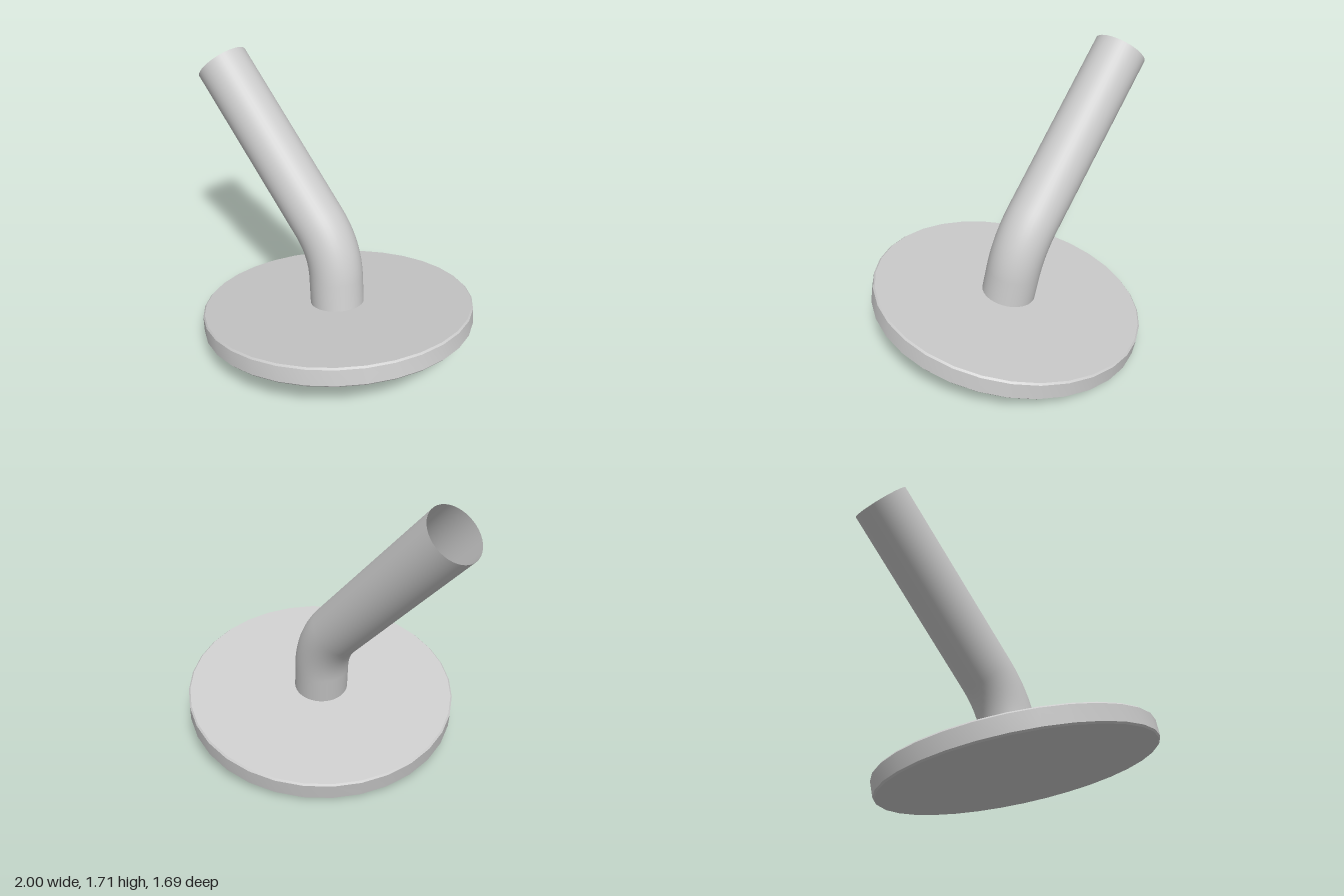
import * as THREE from 'three';
import { toCreasedNormals } from 'three/addons/utils/BufferGeometryUtils.js';

const DISC_RADIUS = 0.846;
const DISC_THICKNESS = 0.117;
const BEVEL = 0.01;
const TUBE_RADIUS = 0.168;
const LEAN = THREE.MathUtils.degToRad(9); // sideways tilt of the disc

export function createModel() {
  const model = new THREE.Group();
  const material = new THREE.MeshStandardMaterial({ color: 0xcccccc });
  const openMaterial = new THREE.MeshStandardMaterial({ color: 0xcccccc, side: THREE.DoubleSide });

  // Everything tips backwards around the disc centre
  const body = new THREE.Group();
  body.name = 'tiltedBody';
  body.position.set(0.153, 0.228, 0);
  body.rotation.x = -THREE.MathUtils.degToRad(7.5);
  model.add(body);

  // Round base plate with slightly softened rims
  const h = DISC_THICKNESS / 2;
  const profile = [
    [0, -h], [DISC_RADIUS - BEVEL, -h], [DISC_RADIUS, -h + BEVEL],
    [DISC_RADIUS, h - BEVEL], [DISC_RADIUS - BEVEL, h], [0, h],
  ].map(([r, y]) => new THREE.Vector2(r, y));
  const disc = new THREE.Mesh(toCreasedNormals(new THREE.LatheGeometry(profile, 32), 0.6), material);
  disc.name = 'basePlate';
  disc.rotation.z = LEAN;
  body.add(disc);

  // Open tube: rises square to the plate, bends, then runs straight to the tip
  const start = new THREE.Vector3();
  const corner = new THREE.Vector3(-Math.sin(LEAN), Math.cos(LEAN), 0).multiplyScalar(0.41);
  const tip = new THREE.Vector3(-1.033, 1.376, 0);
  const bend = 0.19; // distance of the bend's ends from the corner
  const towards = (target) => corner.clone().add(target.clone().sub(corner).setLength(bend));
  const bendStart = towards(start);
  const bendEnd = towards(tip);

  const path = new THREE.CurvePath();
  path.add(new THREE.LineCurve3(start, bendStart));
  path.add(new THREE.QuadraticBezierCurve3(bendStart, corner, bendEnd));
  path.add(new THREE.LineCurve3(bendEnd, tip));

  const tube = new THREE.Mesh(new THREE.TubeGeometry(path, 80, TUBE_RADIUS, 40, false), openMaterial);
  tube.name = 'bentTube';
  body.add(tube);

  return model;
}
